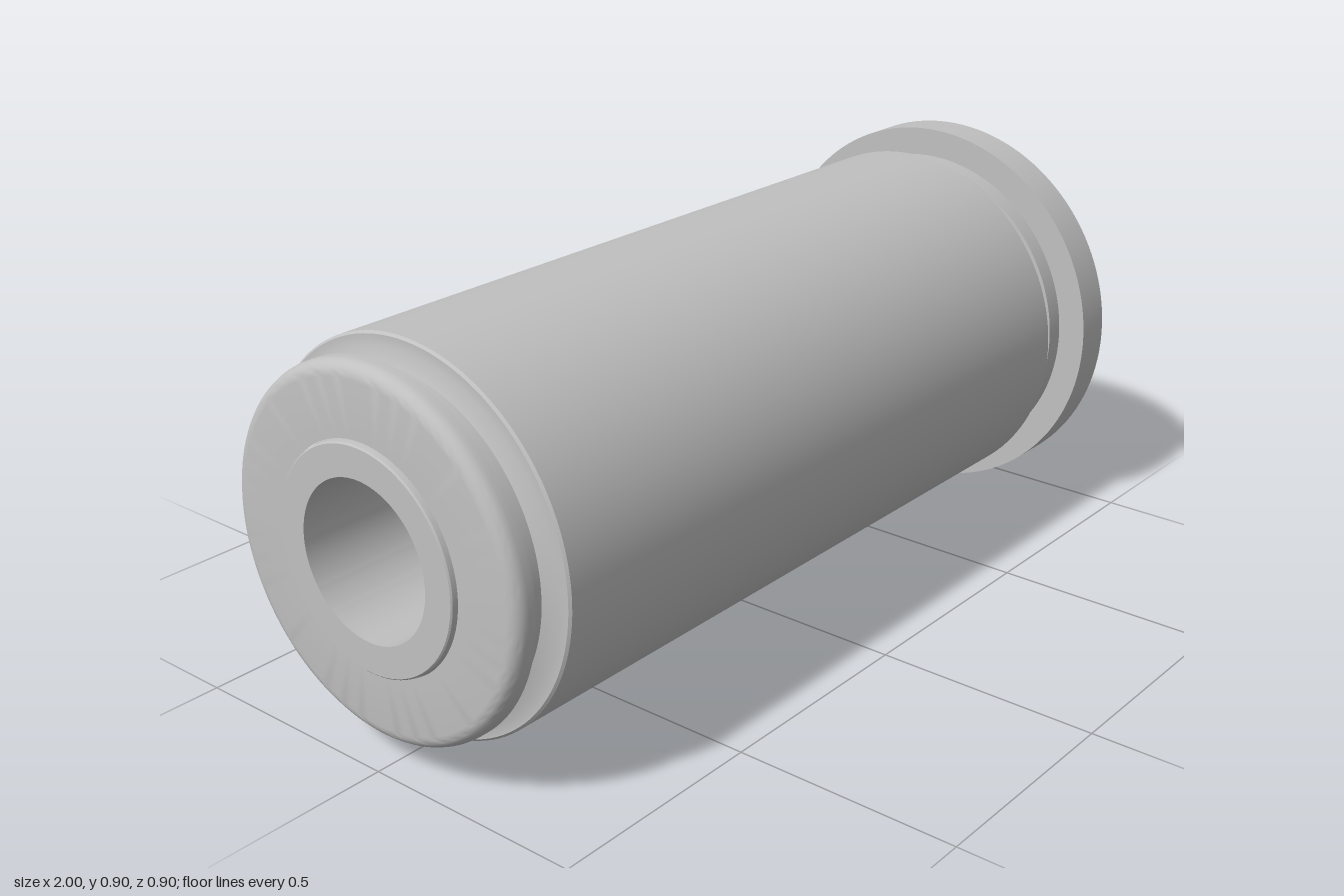
import * as THREE from 'three';
import { toCreasedNormals } from 'three/addons/utils/BufferGeometryUtils.js';

const RADIUS = 0.452; // flange radius, also the height of the axis

export function createModel() {
  const group = new THREE.Group();
  const steel = new THREE.MeshStandardMaterial({ color: 0xc0c0c0 });
  steel.name = 'steel grey';

  // Turned part about the x axis, from a profile of [x, radius] points
  const turned = (name, profile) => {
    const points = profile.map(([x, r]) => new THREE.Vector2(r, x));
    const geometry = new THREE.LatheGeometry(points, 128);
    geometry.rotateZ(-Math.PI / 2);
    const mesh = new THREE.Mesh(toCreasedNormals(geometry, 0.45), steel);
    mesh.name = name;
    mesh.position.y = RADIUS;
    group.add(mesh);
  };

  // Rounded edge of the closed end
  const rounded = [];
  for (let i = 0; i <= 6; i++) {
    const a = (i / 6) * Math.PI / 2;
    rounded.push([-0.957 - 0.03 * Math.cos(a), 0.356 + 0.03 * Math.sin(a)]);
  }

  // Housing: end cap, groove, barrel, groove and collar, open bore
  turned('housing', [
    [-0.987, 0.238], ...rounded,
    [-0.94, 0.386], [-0.922, 0.354], [-0.893, 0.354], [-0.88, 0.385],
    [-0.88, 0.407], [-0.875, 0.412], [0.78, 0.412], [0.785, 0.407],
    [0.785, 0.385], [0.799, 0.354], [0.828, 0.354], [0.832, 0.386], [0.9, 0.386],
  ]);

  // Flange with the ring groove and raised, tapered face
  turned('flange', [
    [0.877, 0.38], [0.877, RADIUS], [0.968, RADIUS], [0.968, 0.381],
    [0.93, 0.381], [0.987, 0.342], [0.987, 0.238], [0.86, 0.238],
  ]);

  // Inner sleeve, proud at one end and recessed at the other
  turned('sleeve', [
    [-1, 0.167], [-1, 0.232], [-0.997, 0.235], [-0.98, 0.238],
    [0.88, 0.238], [0.89, 0.228], [0.89, 0.167], [-1, 0.167],
  ]);

  // Five radial ribs across the flange face
  for (let i = 0; i < 5; i++) {
    const angle = THREE.MathUtils.degToRad(-3.1 + 72 * i);
    const rib = new THREE.Mesh(new THREE.BoxGeometry(0.016, 0.018, 0.157), steel);
    rib.name = 'rib' + (i + 1);
    rib.position.set(0.992, RADIUS + 0.303 * Math.sin(angle), 0.303 * Math.cos(angle));
    rib.rotation.x = -angle;
    group.add(rib);
  }
  return group;
}
